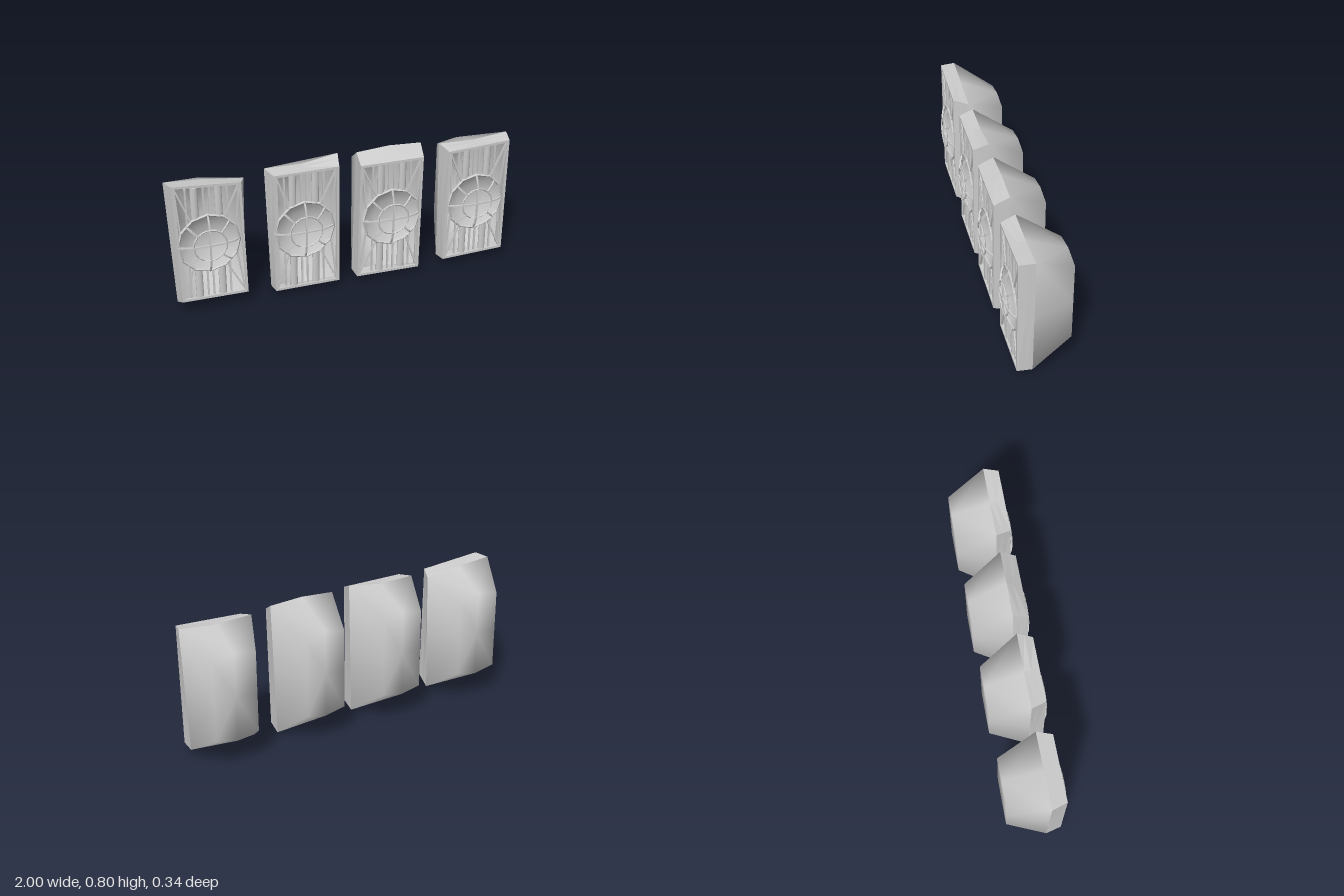
import * as THREE from 'three';
import { mergeGeometries } from 'three/addons/utils/BufferGeometryUtils.js';

const material = (options = {}) => new THREE.MeshStandardMaterial({ color: 0xcccccc, ...options });
const smoothShell = material({ side: THREE.DoubleSide });
const flatShell = material({ side: THREE.DoubleSide, flatShading: true });
const flat = material({ flatShading: true });

// Corners run bottom left, bottom right, top right, top left.
const PANELS = [
  { name: 'panelFarRight', hub: [-0.79, 0.42], back: [-0.905, -0.645], sag: [0, 0.005],
    outer: [[-0.97, 0.04], [-0.58, 0.025], [-0.565, 0.735], [-1, 0.78]],
    front: [[-0.955, 0.08], [-0.585, 0.072], [-0.6, 0.755], [-0.975, 0.787]] },
  { name: 'panelInnerRight', hub: [-0.25, 0.4], back: [-0.37, -0.125], sag: [-0.005, -0.02],
    outer: [[-0.43, 0.03], [-0.045, 0.01], [-0.03, 0.795], [-0.45, 0.77]],
    front: [[-0.425, 0.04], [-0.05, 0.035], [-0.05, 0.755], [-0.42, 0.757]] },
  { name: 'panelInnerLeft', hub: [0.265, 0.385], back: [0.135, 0.37], sag: [0.005, 0.012],
    outer: [[0.055, 0.04], [0.445, 0], [0.465, 0.78], [0.08, 0.78]],
    front: [[0.06, 0.035], [0.44, 0.025], [0.45, 0.73], [0.075, 0.735]] },
  { name: 'panelFarLeft', hub: [0.785, 0.39], back: [0.67, 0.92], sag: [0.005, -0.015],
    outer: [[0.59, 0.03], [0.975, 0.045], [1, 0.765], [0.58, 0.755]],
    front: [[0.597, 0.042], [0.975, 0.05], [0.98, 0.75], [0.605, 0.735]] },
];

// Eight-point ring: four corners plus edge midpoints, with optional bottom and top sag.
function ring(corners, z, sag = [0, 0]) {
  return corners.flatMap(([x, y], i) => {
    const [nx, ny] = corners[(i + 1) % 4];
    const bend = i === 0 ? sag[0] : i === 2 ? sag[1] : 0;
    return [[x, y, z], [(x + nx) / 2, (y + ny) / 2 + bend, z]];
  });
}

const blend = (a, b, t) => a.map((p, i) => p.map((v, k) => v + (b[i][k] - v) * t));

// Moves corners towards their centre by a fixed border.
function inset(corners, d) {
  const cx = corners.reduce((s, c) => s + c[0], 0) / 4;
  const cy = corners.reduce((s, c) => s + c[1], 0) / 4;
  return corners.map(([x, y]) => [x - Math.sign(x - cx) * d, y - Math.sign(y - cy) * d]);
}

// Skins rings ordered from back to front, mirroring diagonals; the cap closes the rear.
function loft(rings, capped) {
  const n = rings[0].length, points = rings.flat(), index = [];
  for (let r = 0; r < rings.length - 1; r++) {
    for (let i = 0; i < n; i++) {
      const a = r * n + i, b = r * n + (i + 1) % n;
      if (i % 2) index.push(a, b, b + n, a, b + n, a + n);
      else index.push(a, b, a + n, b, b + n, a + n);
    }
  }
  if (capped) {
    points.push([0, 1, 2].map(k => rings[0].reduce((s, p) => s + p[k], 0) / n));
    for (let i = 0; i < n; i++) index.push(points.length - 1, (i + 1) % n, i);
  }
  const geometry = new THREE.BufferGeometry();
  geometry.setAttribute('position', new THREE.Float32BufferAttribute(points.flat(), 3));
  geometry.setIndex(index);
  geometry.computeVertexNormals();
  return geometry;
}

// Slim square bar between two points.
function bar(a, b, width, depth = width) {
  const from = new THREE.Vector3(...a), to = new THREE.Vector3(...b);
  const geometry = new THREE.BoxGeometry(width, depth, from.distanceTo(to));
  const pose = new THREE.Object3D();
  pose.position.copy(from).lerp(to, 0.5);
  pose.lookAt(to);
  pose.updateMatrix();
  return geometry.applyMatrix4(pose.matrix);
}

function add(group, name, geometry, mat) {
  const mesh = new THREE.Mesh(geometry, mat);
  mesh.name = name;
  group.add(mesh);
}

function createGrille() {
  const grille = new THREE.Group();
  const polar = (r, i, n, z) => [r * Math.cos(i * 2 * Math.PI / n), r * Math.sin(i * 2 * Math.PI / n), z];

  // Shallow bowl with a flat floor
  const profile = [[0, 0.075], [0.085, 0.075], [0.165, 0.127]];
  const bowl = new THREE.LatheGeometry(profile.map(p => new THREE.Vector2(...p)), 12);
  add(grille, 'bowl', bowl.rotateX(Math.PI / 2), smoothShell);

  // Twelve-sided rim
  const rim = new THREE.TorusGeometry(0.17, 0.008, 4, 12).translate(0, 0, 0.129);
  add(grille, 'rim', rim, flat);

  // Domed cage of spokes, an inner ring and a central cross
  const wires = [new THREE.TorusGeometry(0.092, 0.005, 4, 16).translate(0, 0, 0.16)];
  for (let i = 0; i < 8; i++) {
    const shoulder = polar(0.135, i, 8, 0.149);
    wires.push(bar(polar(0.168, i, 8, 0.13), shoulder, 0.009));
    wires.push(bar(shoulder, polar(0.092, i, 8, 0.16), 0.009));
    if (i % 2 === 0) wires.push(bar(polar(0.092, i, 8, 0.16), [0, 0, 0.165], 0.009));
  }
  add(grille, 'cage', mergeGeometries(wires), flat);
  return grille;
}

function createPanel({ name, hub: [hx, hy], back: [x0, x1], sag, outer, front }) {
  const panel = new THREE.Group();
  panel.name = name;

  // Tapered pillow-like rear shell with a bowed back edge
  const rear = ring([[x0, 0.18], [x1, 0.18], [x1, 0.645], [x0, 0.645]], -0.17, [-0.025, 0.022]);
  const middle = ring(outer, 0.05, sag);
  add(panel, 'rearShell', loft([rear, middle], true), smoothShell);

  // Faceted side band, folding over into the front frame and its inner lip
  const face = ring(front, 0.135), inner = inset(front, 0.014);
  const shoulder = blend(face, middle, 0.55);
  const band = loft([middle, shoulder, face, ring(inner, 0.135), ring(inner, 0.122)], false);
  add(panel, 'frontFrame', band, flatShell);

  // Diagonal struts from each frame corner to the grille rim
  const struts = [];
  inner.forEach(([x, y]) => {
    const sx = Math.sign(x - hx), sy = Math.sign(y - hy);
    for (const angle of [0.45, 1.0]) {
      const rimPoint = [hx + sx * 0.17 * Math.cos(angle), hy + sy * 0.17 * Math.sin(angle), 0.127];
      struts.push(bar([x, y, 0.127], rimPoint, 0.009));
    }
  });
  add(panel, 'cornerStruts', mergeGeometries(struts), flat);

  // Broad round columns and thin slats above and below the grille
  const columns = [], slats = [];
  const ends = [(inner[0][1] + inner[1][1]) / 2, (inner[2][1] + inner[3][1]) / 2];
  ends.forEach((end, k) => {
    const side = k ? 1 : -1;
    const start = dx => hy + side * Math.sqrt(0.17 ** 2 - dx ** 2);
    for (const dx of [-0.065, 0.065]) {
      const length = Math.abs(end - start(dx));
      columns.push(new THREE.CylinderGeometry(0.021, 0.021, length, 10)
        .scale(1, 1, 0.6).translate(hx + dx, (end + start(dx)) / 2, 0.12));
    }
    for (const dx of [-0.112, -0.016, 0.016, 0.112]) {
      slats.push(bar([hx + dx, start(dx), 0.12], [hx + dx, end, 0.12], 0.009, 0.012));
    }
  });
  add(panel, 'columns', mergeGeometries(columns), material());
  add(panel, 'slats', mergeGeometries(slats), flat);

  const grille = createGrille();
  grille.name = 'roundGrille';
  grille.position.set(hx, hy, 0);
  panel.add(grille);
  return panel;
}

export function createModel() {
  const model = new THREE.Group();
  model.name = 'grillePanels';
  PANELS.forEach(spec => model.add(createPanel(spec)));
  return model;
}
